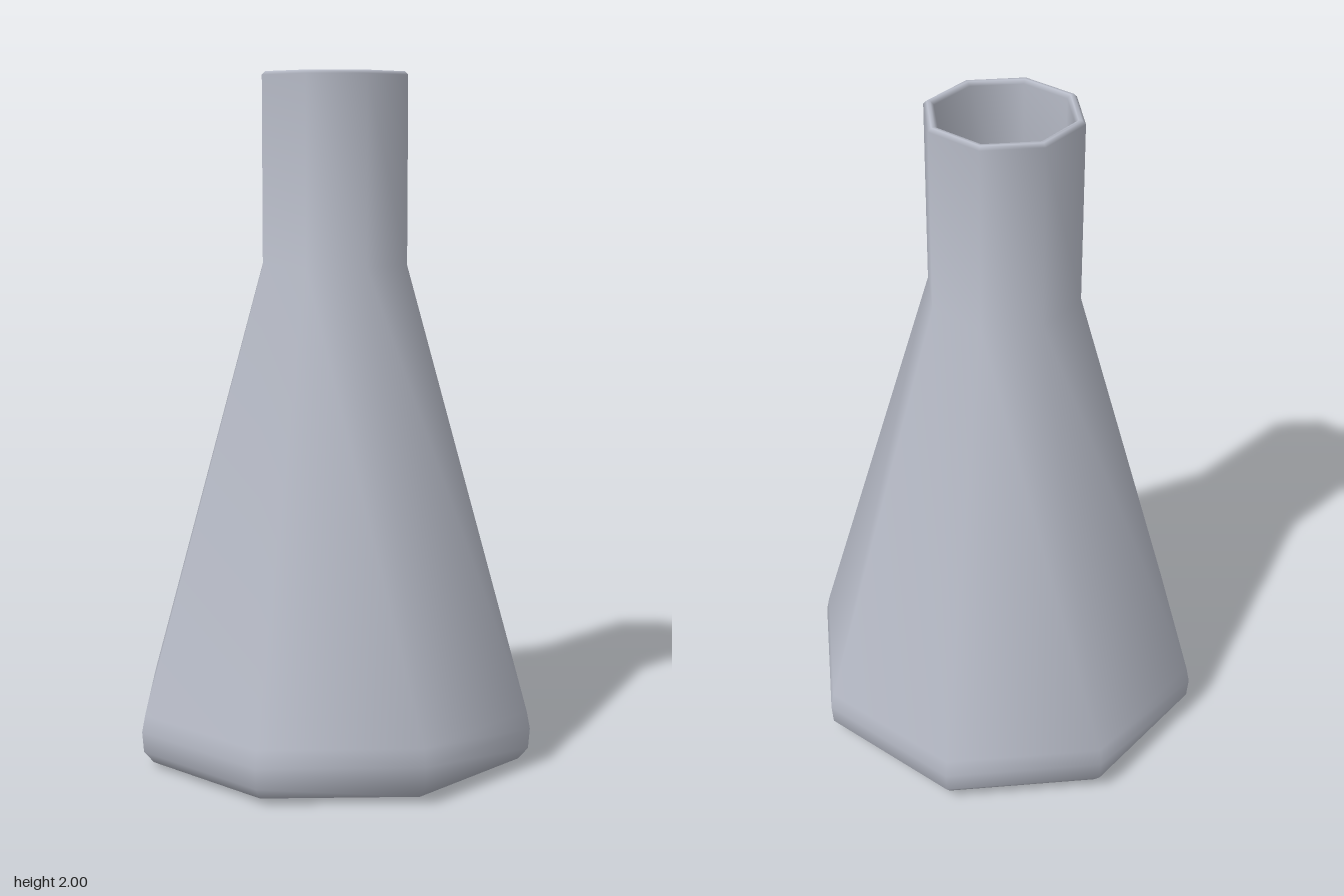
import * as THREE from 'three';

export function createModel() {
  const model = new THREE.Group();
  model.name = 'conicalFlask';

  const glass = new THREE.MeshStandardMaterial({ color: 0xb8bcc8 });
  glass.name = 'paleGreyGlass';

  // Closed wall profile (radius, height): underside, outside, lip, inside, floor
  const profile = [
    // recessed underside and foot ring
    [0, 0.05], [0.42, 0.04], [0.48, 0.01], [0.52, 0],
    // rounded heel
    [0.575, 0.015], [0.605, 0.05], [0.61, 0.11],
    // sloping body and straight neck
    [0.6, 0.16], [0.225, 1.45], [0.225, 1.99],
    // lip
    [0.215, 2], [0.205, 2], [0.195, 1.99],
    // inner wall
    [0.195, 1.45], [0.57, 0.16], [0.56, 0.1],
    // inner floor
    [0.5, 0.08], [0.4, 0.075], [0, 0.075],
  ].map(([r, y]) => new THREE.Vector2(r, y));

  // Eight sides, smooth shaded, with corners on the x and z axes
  const flask = new THREE.Mesh(new THREE.LatheGeometry(profile, 8), glass);
  flask.name = 'flaskBody';
  model.add(flask);

  return model;
}
